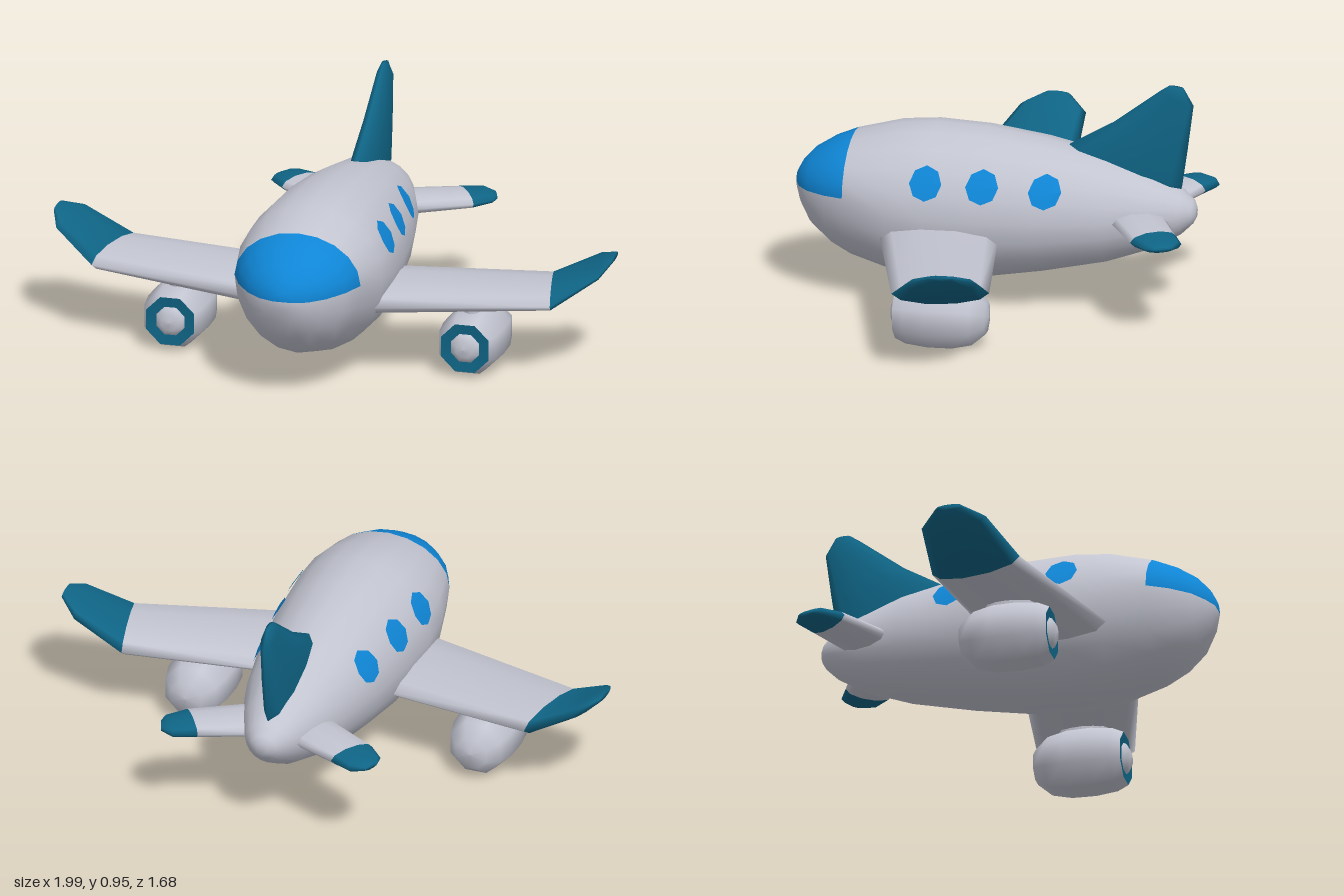
import * as THREE from 'three';

const mat = (name, color) => Object.assign(new THREE.MeshStandardMaterial({ color }), { name });
const grey = mat('bodyGrey', 0xc2c4d0);
const teal = mat('trimTeal', 0x0f6485);
const blue = mat('windowBlue', 0x0f86d6);
const V = (x, y, z) => new THREE.Vector3(x, y, z);

function mesh(name, geo, material) {
  const m = new THREE.Mesh(geo, material);
  m.name = name;
  return m;
}

// Skins closed rings and caps both ends; pick(i, j) gives the material of each face
function loft(rings, pick) {
  const n = rings[0].length, pts = rings.flat(), lists = [[], []];
  const centre = (r) => r.reduce((a, p) => a.add(p), V(0, 0, 0)).divideScalar(n);
  const last = rings.length - 1, c0 = pts.length, c1 = c0 + 1;
  pts.push(centre(rings[0]), centre(rings[last]));
  for (let j = 0; j < n; j++) {
    const k = (j + 1) % n;
    lists[pick(0, j)].push(c0, j, k);
    lists[pick(last, j)].push(c1, last * n + k, last * n + j);
    for (let i = 0; i < last; i++) {
      const a = i * n + j, b = i * n + k;
      lists[pick(i, j)].push(a, a + n, b, b, a + n, b + n);
    }
  }
  // Turn the faces outward if the rings ran the other way
  let volume = 0;
  for (const l of lists)
    for (let t = 0; t < l.length; t += 3)
      volume += pts[l[t]].dot(V(0, 0, 0).crossVectors(pts[l[t + 1]], pts[l[t + 2]]));
  if (volume < 0) lists.forEach((l) => l.reverse());
  const geo = new THREE.BufferGeometry().setFromPoints(pts);
  geo.setIndex(lists.flat());
  geo.addGroup(0, lists[0].length, 0);
  geo.addGroup(lists[0].length, lists[1].length, 1);
  geo.computeVertexNormals();
  return geo;
}

// Lens-shaped section between a leading and a trailing point
function section(front, back, thick, n = 10) {
  const mid = front.clone().add(back).multiplyScalar(0.5);
  const half = front.clone().sub(back).multiplyScalar(0.5);
  return Array.from({ length: n }, (_, i) => {
    const a = (i / n) * Math.PI * 2;
    return mid.clone().addScaledVector(half, Math.cos(a)).addScaledVector(thick, Math.sin(a));
  });
}

// Fuselage stations: z, half width, widest height, top, bottom
const BODY = [
  [0.868, 0.04, 0.45, 0.485, 0.415],
  [0.845, 0.1, 0.45, 0.53, 0.35],
  [0.8, 0.165, 0.455, 0.58, 0.27],
  [0.72, 0.225, 0.46, 0.63, 0.2],
  [0.635, 0.263, 0.465, 0.665, 0.155],
  [0.45, 0.305, 0.43, 0.715, 0.1],
  [0.3, 0.31, 0.41, 0.73, 0.088],
  [0.09, 0.297, 0.405, 0.722, 0.1],
  [-0.15, 0.268, 0.405, 0.69, 0.14],
  [-0.41, 0.216, 0.41, 0.635, 0.195],
  [-0.6, 0.15, 0.415, 0.565, 0.26],
  [-0.71, 0.095, 0.42, 0.51, 0.325],
  [-0.755, 0.055, 0.42, 0.47, 0.37],
  [-0.768, 0.025, 0.42, 0.445, 0.395],
];

// Half width of the fuselage at a given z and height
function bodyX(z, y) {
  const i = BODY.findIndex((r) => r[0] <= z), a = BODY[i - 1], b = BODY[i];
  const t = (a[0] - z) / (a[0] - b[0]);
  const [, w, yc, top, bot] = a.map((v, k) => v + (b[k] - v) * t);
  const h = y > yc ? top - yc : yc - bot;
  return w * Math.sqrt(Math.max(0, 1 - ((y - yc) / h) ** 2));
}

function fuselage() {
  const n = 20;
  const rings = BODY.map(([z, w, yc, top, bot]) => Array.from({ length: n }, (_, j) => {
    const a = (j / n) * Math.PI * 2, s = Math.sin(a);
    return V(w * Math.cos(a), yc + s * (s > 0 ? top - yc : yc - bot), z);
  }));
  // The upper half of the nose is the windscreen
  return mesh('fuselage', loft(rings, (i, j) => (i < 4 && j < n / 2 ? 1 : 0)), [grey, blue]);
}

// Wing stations: leading x, z, trailing x, z, height, half thickness
const WING = [
  [0.1, 0.525, 0.1, 0.02, 0.315, 0.062],
  [0.956, 0.287, 0.868, -0.097, 0.32, 0.046],
  [1.13, 0.19, 1.075, -0.09, 0.43, 0.032],
  [1.165, 0.1, 1.16, -0.01, 0.472, 0.012],
];
const TAILPLANE = [
  [0.02, -0.36, 0.02, -0.63, 0.41, 0.045],
  [0.4, -0.578, 0.287, -0.745, 0.41, 0.033],
  [0.465, -0.65, 0.376, -0.785, 0.41, 0.025],
  [0.468, -0.69, 0.44, -0.76, 0.408, 0.01],
];

function airfoil(name, stations, side) {
  const rings = stations.map(([xf, zf, xb, zb, y, t]) =>
    section(V(side * xf, y, zf), V(side * xb, y, zb), V(0, t, 0)));
  return mesh(name, loft(rings, (i) => (i > 0 ? 1 : 0)), [grey, teal]);
}

// Fin stations: leading y, z, trailing y, z, half thickness
function fin() {
  const rings = [
    [0.62, -0.2, 0.45, -0.69, 0.05],
    [0.675, -0.25, 0.53, -0.71, 0.055],
    [0.78, -0.43, 0.69, -0.733, 0.046],
    [0.925, -0.62, 0.87, -0.756, 0.03],
    [0.948, -0.655, 0.942, -0.715, 0.012],
  ].map(([yf, zf, yb, zb, t]) => section(V(0, yf, zf), V(0, yb, zb), V(t, 0, 0)));
  return mesh('tailFin', loft(rings, () => 0), [teal, teal]);
}

// Lathe about the z axis from [radius, z] points, with eight sides and a flat underside
function turned(name, profile, material) {
  const geo = new THREE.LatheGeometry(profile.map(([r, z]) => new THREE.Vector2(r, z)), 8);
  geo.rotateY(Math.PI / 8).rotateX(Math.PI / 2);
  return mesh(name, geo, material);
}

function engine(side) {
  const g = new THREE.Group();
  g.name = side > 0 ? 'leftEngine' : 'rightEngine';
  g.position.set(side * 0.615, 0.128, 0);
  g.add(
    turned('engineShell', [[0, -0.045], [0.07, -0.035], [0.118, 0.02], [0.136, 0.1],
      [0.138, 0.2], [0.128, 0.29], [0.108, 0.335]], grey),
    turned('intakeRing', [[0.108, 0.335], [0.06, 0.33]], teal),
    turned('intakeHub', [[0.066, 0.325], [0.058, 0.342], [0.035, 0.355], [0, 0.36]], grey),
  );
  const pylon = mesh('pylon', new THREE.CylinderGeometry(1, 1, 0.1, 12), grey);
  pylon.scale.set(0.05, 1, 0.1);
  pylon.position.set(0, 0.14, 0.16);
  g.add(pylon);
  return g;
}

// Eight-sided cabin window laid on the curved side
function cabinWindow(z0, y0, side) {
  const geo = new THREE.CircleGeometry(0.066, 8), p = geo.attributes.position;
  for (let i = 0; i < p.count; i++) {
    const y = y0 + p.getY(i), z = z0 - side * p.getX(i);
    p.setXYZ(i, side * (bodyX(z, y) + 0.006), y, z);
  }
  geo.computeVertexNormals();
  return mesh('cabinWindow', geo, blue);
}

export function createModel() {
  const plane = new THREE.Group();
  plane.name = 'airplane';
  plane.add(fuselage(), fin());
  for (const side of [1, -1]) {
    const label = side > 0 ? 'left' : 'right';
    plane.add(airfoil(label + 'Wing', WING, side), airfoil(label + 'Tailplane', TAILPLANE, side), engine(side));
    for (const [z, y] of [[0.289, 0.557], [0.06, 0.552], [-0.192, 0.538]]) plane.add(cabinWindow(z, y, side));
  }
  // The aircraft stands turned on its base
  plane.rotation.y = THREE.MathUtils.degToRad(-35);
  plane.position.set(0.041, 0, 0.029);
  const model = new THREE.Group();
  model.name = 'model';
  model.add(plane);
  return model;
}
